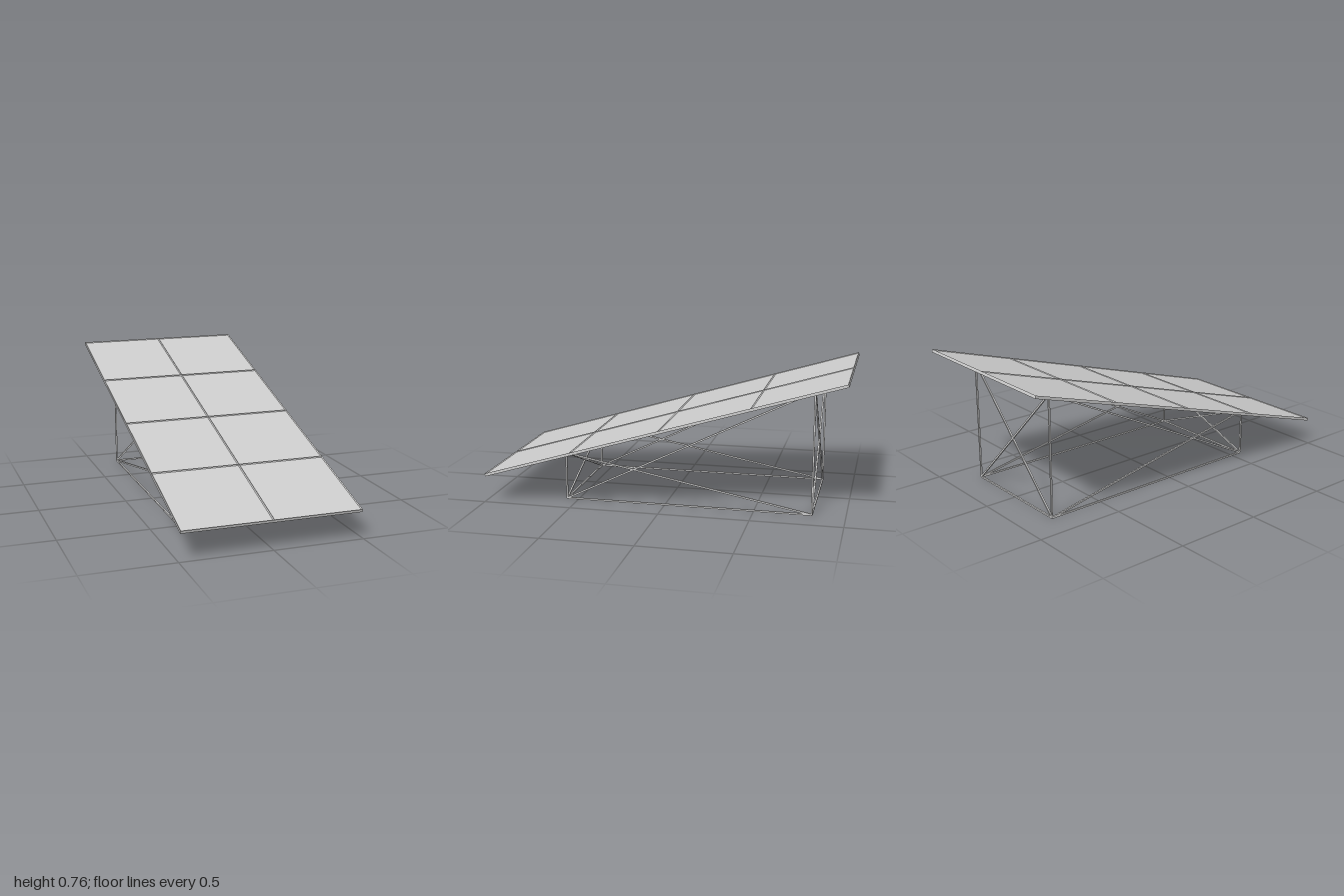
import * as THREE from 'three';

const material = new THREE.MeshStandardMaterial({ color: 0xcccccc, flatShading: true });
const BAR = 0.009;

// Square bar running between two points
function bar(name, a, b) {
  const mesh = new THREE.Mesh(new THREE.BoxGeometry(BAR, BAR, a.distanceTo(b)), material);
  mesh.name = name;
  mesh.position.copy(a).add(b).multiplyScalar(0.5);
  mesh.lookAt(b);
  return mesh;
}

// Sloping table of 2 x 4 panels, each with a bevelled rim around a sunken face
function createPanels() {
  const group = new THREE.Group();
  group.name = 'panelArray';
  const width = 0.49, length = 2.083 / 4, thick = 0.0165, rim = 0.005;
  const r = Math.SQRT1_2, inner = r * (1 - (2 * rim) / 0.505), top = thick / 2;
  const profile = [[0, -top], [r, -top], [r, top], [inner, top - rim], [0, top - rim]]
    .map(([x, y]) => new THREE.Vector2(x, y));
  const geometry = new THREE.LatheGeometry(profile, 4, Math.PI / 4).scale(width, 1, length);
  for (let row = 0; row < 4; row++) {
    for (const side of [-1, 1]) {
      const panel = new THREE.Mesh(geometry, material);
      panel.name = 'panel';
      panel.position.set(side * width / 2, 0, (row - 1.5) * length);
      group.add(panel);
    }
  }
  group.position.y = 0.4525;
  group.rotation.x = Math.atan(0.3);
  return group;
}

// Box-shaped truss with crossed braces on all four sides
function createFrame() {
  const group = new THREE.Group();
  group.name = 'supportFrame';
  const x = 0.342, foot = BAR / 2;
  const corners = [[x, 0.565, 0.27], [x, -0.818, 0.685], [-x, -0.818, 0.685], [-x, 0.565, 0.27]];
  const low = corners.map(([cx, cz]) => new THREE.Vector3(cx, foot, cz));
  const high = corners.map(([cx, cz, cy]) => new THREE.Vector3(cx, cy, cz));
  for (let i = 0; i < 4; i++) {
    const j = (i + 1) % 4;
    group.add(
      bar('post', low[i], high[i]),
      bar('bottomRail', low[i], low[j]),
      bar('topRail', high[i], high[j]),
      bar('crossBrace', low[i], high[j]),
      bar('crossBrace', high[i], low[j]),
    );
  }
  return group;
}

export function createModel() {
  const model = new THREE.Group();
  model.name = 'solarPanelTable';
  model.add(createPanels(), createFrame());
  return model;
}
